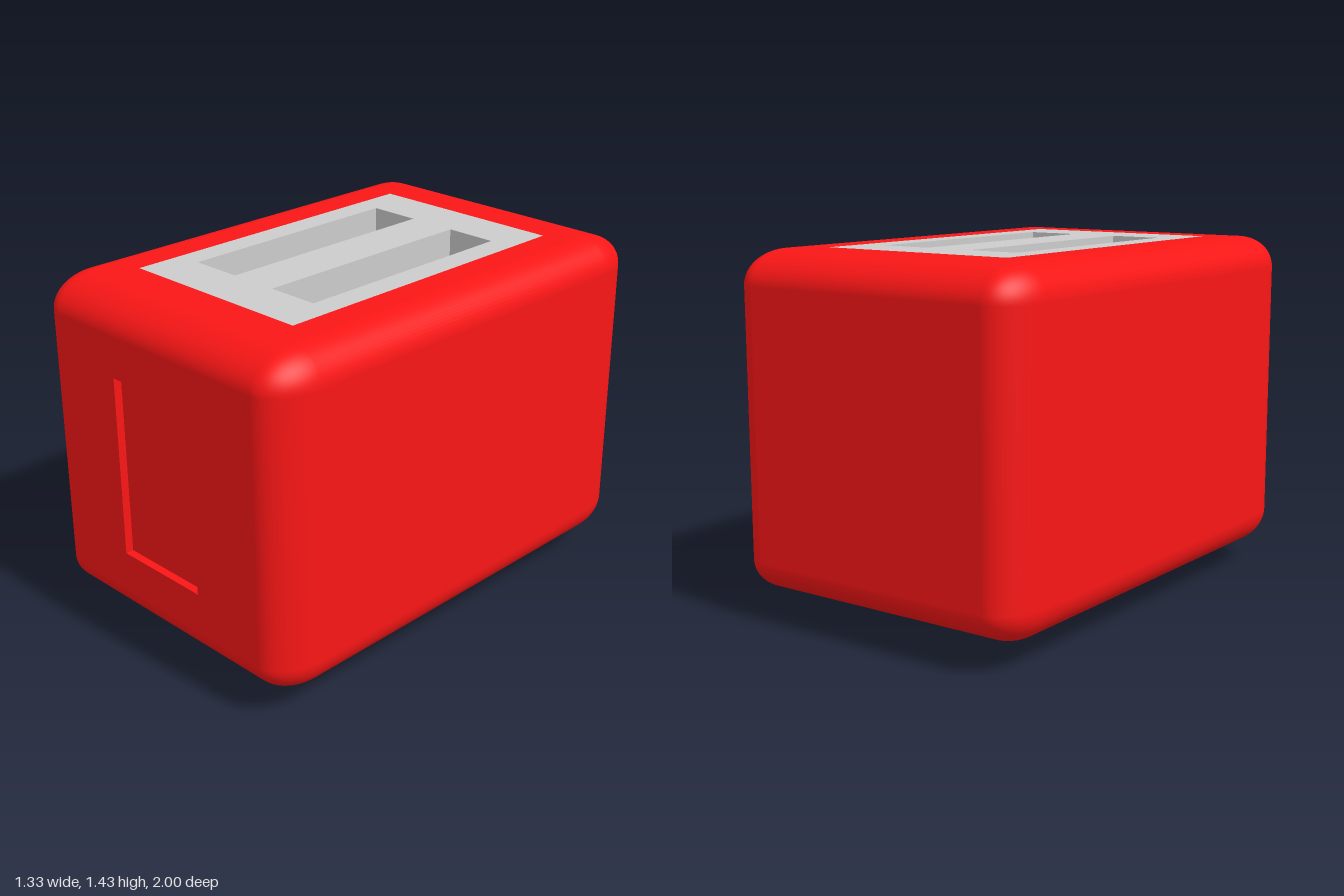
import * as THREE from 'three';
import { RoundedBoxGeometry } from 'three/addons/geometries/RoundedBoxGeometry.js';

const red = new THREE.MeshStandardMaterial({ color: 0xfa1616 });
const grey = new THREE.MeshStandardMaterial({ color: 0xcccccc });

const SIZE = 4 / 3, RADIUS = SIZE / 10, STRETCH = 1.5; // rounded cube, stretched along z
const BASE = 0.1, MID = BASE + SIZE / 2, TOP = BASE + SIZE;
const FLAT = SIZE / 2 - RADIUS; // half width of the flat part of each side
const PANEL = { w: 0.846, d: 1.39 };
const SLOT = { w: 0.215, d: 0.99, x: 0.21, depth: 0.6 };
const RECESS = { w: 0.427, h: 0.737, y: 0.768, depth: 0.033 };

function named(name, geometry, material, x = 0, y = 0, z = 0) {
  const mesh = new THREE.Mesh(geometry, material);
  mesh.name = name;
  mesh.position.set(x, y, z);
  return mesh;
}

function rectangle(path, w, h, x = 0, y = 0) {
  return path.setFromPoints([[-1, -1], [1, -1], [1, 1], [-1, 1]].map(
    ([a, b]) => new THREE.Vector2(x + a * w / 2, y + b * h / 2)));
}

// Flat plate with rectangular holes, facing +z; holes are [w, h, x, y]
function plate(w, h, holes) {
  const shape = rectangle(new THREE.Shape(), w, h);
  shape.holes = holes.map((hole) => rectangle(new THREE.Path(), ...hole));
  return new THREE.ShapeGeometry(shape);
}

// Inside of a box, open at z = 0 and reaching back to z = -depth
function pocket(w, h, depth) {
  const box = new THREE.BoxGeometry(w, h, depth);
  box.setIndex(Array.from(box.index.array).slice(0, 30));
  box.scale(-1, -1, -1).translate(0, 0, -depth / 2);
  box.computeVertexNormals();
  return box;
}

// Rounded shell whose flat front and top are left open for the pierced plates
function shellGeometry() {
  const source = new RoundedBoxGeometry(SIZE, SIZE, SIZE, 8, RADIUS);
  const geo = source.index ? source.toNonIndexed() : source;
  const p = geo.attributes.position, n = geo.attributes.normal;
  const pos = [], nor = [];
  for (let i = 0; i < p.count; i += 3) {
    const corners = [i, i + 1, i + 2];
    const limit = SIZE / 2 - 1e-5;
    if (corners.every((k) => p.getZ(k) > limit) || corners.every((k) => p.getY(k) > limit)) continue;
    for (const k of corners) {
      pos.push(p.getX(k), p.getY(k), p.getZ(k));
      nor.push(n.getX(k), n.getY(k), n.getZ(k));
    }
  }
  const shell = new THREE.BufferGeometry();
  shell.setAttribute('position', new THREE.Float32BufferAttribute(pos, 3));
  shell.setAttribute('normal', new THREE.Float32BufferAttribute(nor, 3));
  return shell.scale(1, 1, STRETCH);
}

export function createModel() {
  const model = new THREE.Group();
  model.name = 'toaster';

  // Housing
  model.add(named('housing', shellGeometry(), red, 0, MID, 0));
  model.add(named('frontFace',
    plate(FLAT * 2, FLAT * 2, [[RECESS.w, RECESS.h, 0, RECESS.y - MID]]), red, 0, MID, 1));
  model.add(named('topFace',
    plate(FLAT * 2, FLAT * 2 * STRETCH, [[PANEL.w, PANEL.d]]).rotateX(-Math.PI / 2), red, 0, TOP, 0));

  // Shallow recess in the front
  model.add(named('frontRecess', pocket(RECESS.w, RECESS.h, RECESS.depth), red, 0, RECESS.y, 1));

  // Top panel with its two bread slots
  const holes = [-1, 1].map((s) => [SLOT.w, SLOT.d, s * SLOT.x, 0]);
  model.add(named('topPanel', plate(PANEL.w, PANEL.d, holes).rotateX(-Math.PI / 2), grey, 0, TOP, 0));
  for (const s of [-1, 1]) {
    model.add(named(s > 0 ? 'leftSlot' : 'rightSlot',
      pocket(SLOT.w, SLOT.d, SLOT.depth).rotateX(-Math.PI / 2), grey, s * SLOT.x, TOP, 0));
  }

  // Round feet
  const foot = new THREE.SphereGeometry(0.1, 32, 20);
  for (const x of [-1, 1]) for (const z of [-1, 1]) {
    model.add(named(`${z > 0 ? 'front' : 'back'}${x > 0 ? 'Left' : 'Right'}Foot`,
      foot, red, x * 0.37, BASE, z * 0.545));
  }
  return model;
}
